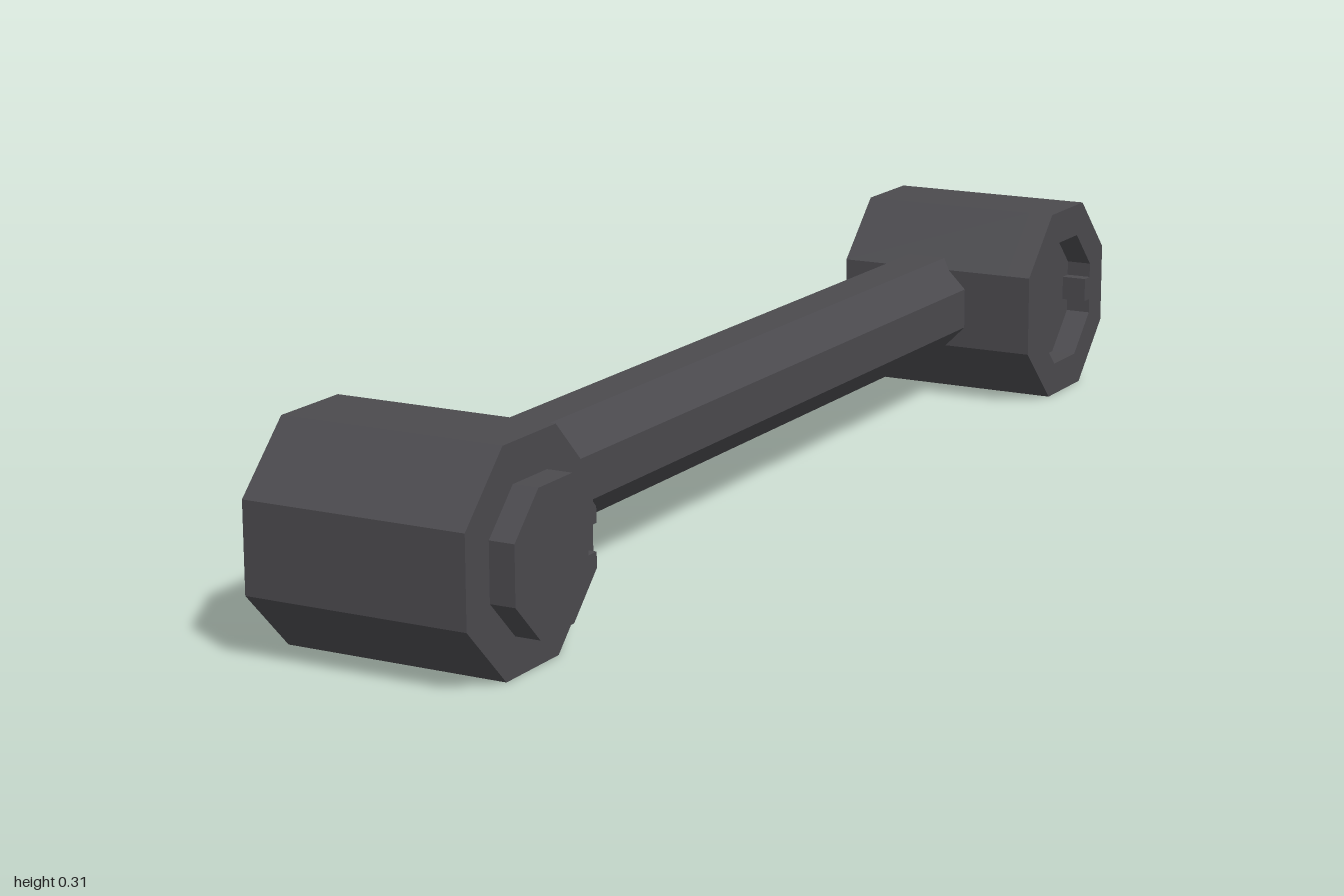
import * as THREE from 'three';

const CENTER_Y = 0.1525;
const HEAD_Z = 0.8475;
const HEAD_MIN = -0.184, HEAD_MAX = 0.146;
const RECESS_DEPTH = 0.04;

// Octagon with flat top and sides; apothem is the centre-to-flat distance.
// An optional key cuts a small rectangular notch into the +u side.
function octagon(apothem, key = 0) {
  const r = apothem / Math.cos(Math.PI / 8);
  const points = [];
  for (let i = 0; i < 8; i++) {
    const a = (i + 0.5) * Math.PI / 4;
    points.push(new THREE.Vector2(r * Math.cos(a), r * Math.sin(a)));
  }
  if (key) {
    const h = 0.019;
    points.push(
      new THREE.Vector2(apothem, -h), new THREE.Vector2(apothem - key, -h),
      new THREE.Vector2(apothem - key, h), new THREE.Vector2(apothem, h));
  }
  return points;
}

export function createModel() {
  const model = new THREE.Group();
  model.name = 'dumbbellLink';
  const darkGrey = new THREE.MeshStandardMaterial({ color: 0x4b4a4e });
  darkGrey.name = 'darkGrey';

  function extrude(name, points, length, hole) {
    const shape = new THREE.Shape(points);
    if (hole) shape.holes.push(new THREE.Path(hole));
    const geometry = new THREE.ExtrudeGeometry(shape, { depth: length, bevelEnabled: false });
    const mesh = new THREE.Mesh(geometry, darkGrey);
    mesh.name = name;
    model.add(mesh);
    return mesh;
  }

  // Prism running along x from x0 to x1
  function alongX(name, points, x0, x1, z, hole) {
    const mesh = extrude(name, points, x1 - x0, hole);
    mesh.geometry.rotateY(Math.PI / 2);
    mesh.position.set(x0, CENTER_Y, z);
  }

  // Shaft, its ends buried in the two heads
  const shaft = extrude('shaft', octagon(0.077), 1.52);
  shaft.position.set(-0.045, CENTER_Y + 0.002, -0.76);

  // Front head with a raised, notched plug
  alongX('frontHead', octagon(0.1525), HEAD_MIN, HEAD_MAX, HEAD_Z);
  alongX('frontPlug', octagon(0.0985, 0.02), HEAD_MAX, 0.183, HEAD_Z);

  // Back head with a matching keyed socket
  const floorX = HEAD_MAX - RECESS_DEPTH;
  alongX('backHead', octagon(0.1525), HEAD_MIN, floorX, -HEAD_Z);
  alongX('backSocket', octagon(0.1525), floorX, HEAD_MAX, -HEAD_Z, octagon(0.101, 0.02));

  return model;
}
